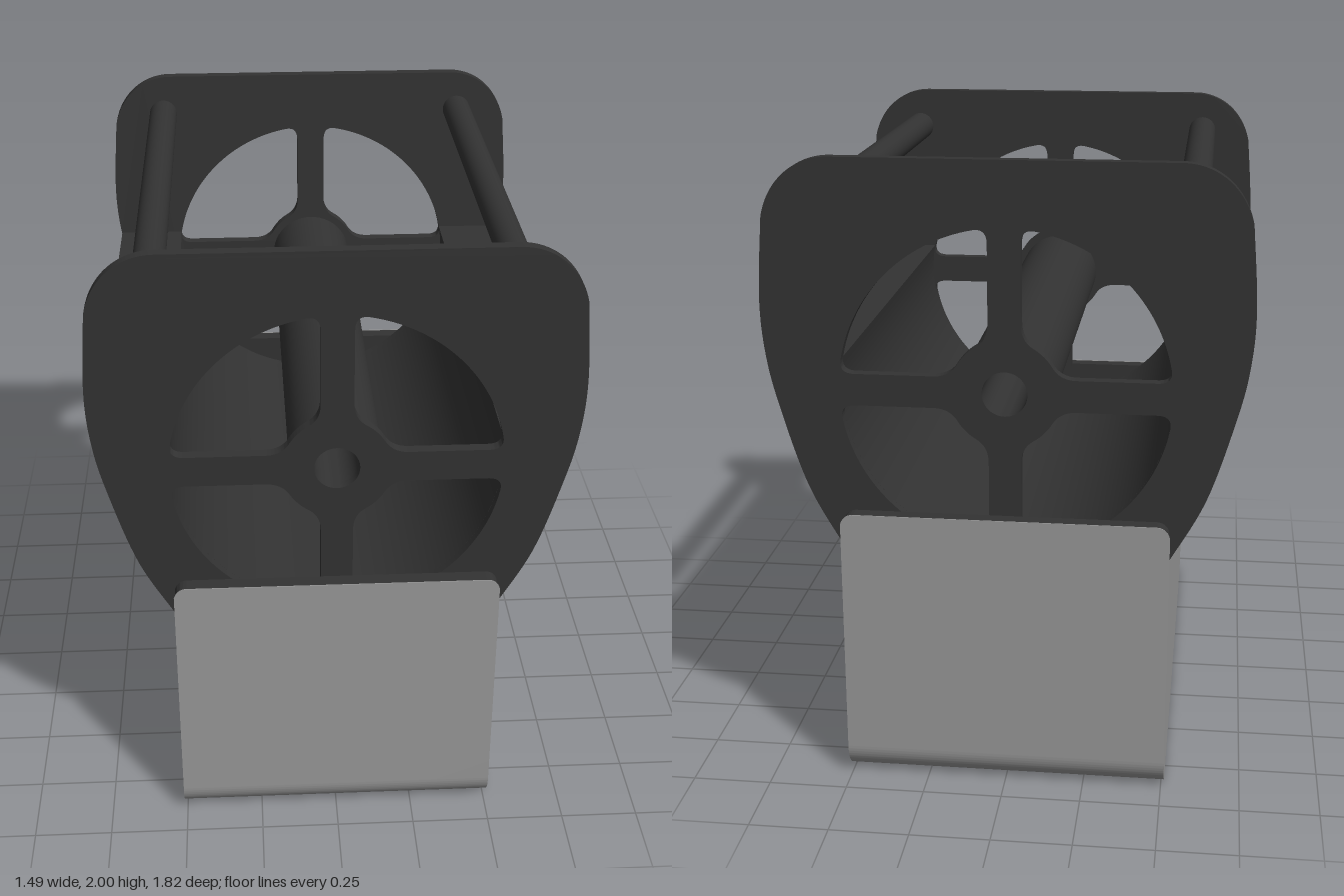
import * as THREE from 'three';
import { toCreasedNormals } from 'three/addons/utils/BufferGeometryUtils.js';

const AXIS_Y = 1.29; // height of the hub and drum axis
const WINDOW_R = 0.51;
const dark = new THREE.MeshStandardMaterial({ color: 0x333333 });
const grey = new THREE.MeshStandardMaterial({ color: 0x999999 });

// Extrude a shape from z0 to z1 with smooth curves and sharp edges
function extrude(shape, z0, z1) {
  const g = new THREE.ExtrudeGeometry(shape, { depth: z1 - z0, bevelEnabled: false, curveSegments: 24 });
  g.translate(0, 0, z0);
  return toCreasedNormals(g, 0.5);
}

function addMesh(parent, name, geometry, material) {
  const mesh = new THREE.Mesh(geometry, material);
  mesh.name = name;
  parent.add(mesh);
  return mesh;
}

// Right-hand flank of the end plate, from the foot to the shoulder
const flank = new THREE.SplineCurve([
  [0.51, 0.775], [0.615, 0.97], [0.695, 1.22], [0.733, 1.39], [0.745, 1.57], [0.728, 1.82],
].map(([x, y]) => new THREE.Vector2(x, y))).getPoints(40);

// Quarter window between two spokes, with rounded corners, turned by quarter steps
function windowHole(turn) {
  const hub = 0.17, spoke = 0.05, a = 0.18, b = 0.55;
  const s = new THREE.Path();
  s.moveTo(0.22, spoke);
  s.lineTo(0.46, spoke);
  s.quadraticCurveTo(0.508, spoke, WINDOW_R * Math.cos(a), WINDOW_R * Math.sin(a));
  s.absarc(0, 0, WINDOW_R, a, Math.PI / 2 - a, false);
  s.quadraticCurveTo(spoke, 0.508, spoke, 0.46);
  s.lineTo(spoke, 0.22);
  s.quadraticCurveTo(spoke, 0.168, hub * Math.sin(b), hub * Math.cos(b));
  s.absarc(0, 0, hub, Math.PI / 2 - b, b, true);
  s.quadraticCurveTo(0.168, spoke, 0.22, spoke);
  const centre = new THREE.Vector2();
  const pts = s.getPoints(16).slice(0, -1).map((p) => {
    p.rotateAround(centre, turn * Math.PI / 2);
    return p.setY(p.y + AXIS_Y);
  });
  return new THREE.Path(pts);
}

function plateShape() {
  const s = new THREE.Shape();
  s.moveTo(-0.51, 0.775);
  flank.forEach((p) => s.lineTo(p.x, p.y));
  s.bezierCurveTo(0.705, 1.93, 0.62, 2, 0.52, 2);
  s.lineTo(-0.52, 2);
  s.bezierCurveTo(-0.62, 2, -0.705, 1.93, -0.728, 1.82);
  [...flank].reverse().slice(1).forEach((p) => s.lineTo(-p.x, p.y));
  for (let i = 0; i < 4; i++) s.holes.push(windowHole(i));
  const bore = new THREE.Path();
  bore.absarc(0, AXIS_Y, 0.07, 0, Math.PI * 2, true);
  s.holes.push(bore);
  return s;
}

// Trough: flared outside, round channel inside
function troughShape() {
  const top = 1.385;
  const a = Math.asin((top - AXIS_Y) / WINDOW_R);
  const side = flank.filter((p) => p.y < top);
  const s = new THREE.Shape();
  s.moveTo(-0.51, 0.775);
  side.forEach((p) => s.lineTo(p.x - 0.002, p.y));
  s.lineTo(0.731, top);
  s.absarc(0, AXIS_Y, WINDOW_R, a, -Math.PI - a, true);
  s.lineTo(-0.731, top);
  [...side].reverse().slice(0, -1).forEach((p) => s.lineTo(-p.x + 0.002, p.y));
  return s;
}

// Side profile of the base: rounded lower corners, slanted upper horns
function baseShape() {
  const s = new THREE.Shape();
  s.moveTo(-0.81, 0);
  s.lineTo(0.81, 0);
  s.absarc(0.81, 0.1, 0.1, -Math.PI / 2, 0, false);
  s.lineTo(0.91, 0.87);
  s.lineTo(0.855, 0.775);
  s.lineTo(-0.855, 0.775);
  s.lineTo(-0.91, 0.87);
  s.lineTo(-0.91, 0.1);
  s.absarc(-0.81, 0.1, 0.1, Math.PI, Math.PI * 1.5, false);
  return s;
}

// Upright panel with rounded upper corners
function lipShape(w, y0, y1, r) {
  const s = new THREE.Shape();
  s.moveTo(-w, y0);
  s.lineTo(w, y0);
  s.lineTo(w, y1 - r);
  s.absarc(w - r, y1 - r, r, 0, Math.PI / 2, false);
  s.lineTo(-w + r, y1);
  s.absarc(-w + r, y1 - r, r, Math.PI / 2, Math.PI, false);
  return s;
}

export function createModel() {
  const model = new THREE.Group();
  model.name = 'drumHolder';

  // Base block
  const base = extrude(baseShape(), -0.51, 0.51);
  base.rotateY(-Math.PI / 2);
  addMesh(model, 'base', base, grey);

  // Trough and hollow axle between the end plates
  addMesh(model, 'trough', extrude(troughShape(), -0.825, 0.825), dark);
  const tube = new THREE.Shape();
  tube.absarc(0, AXIS_Y, 0.145, 0, Math.PI * 2, false);
  const bore = new THREE.Path();
  bore.absarc(0, AXIS_Y, 0.07, 0, Math.PI * 2, true);
  tube.holes.push(bore);
  addMesh(model, 'axleTube', extrude(tube, -0.825, 0.825), dark);

  // End plates, with raised lips on the base outside them
  for (const [name, turn] of [['front', 0], ['back', Math.PI]]) {
    const end = new THREE.Group();
    end.name = name + 'End';
    end.rotation.y = turn;
    addMesh(end, name + 'Plate', extrude(plateShape(), 0.82, 0.857), dark);
    addMesh(end, name + 'Lip', extrude(lipShape(0.508, 0.77, 0.898, 0.04), 0.857, 0.907), dark);
    addMesh(end, name + 'LipFace', extrude(lipShape(0.51, 0.7, 0.9, 0.04), 0.907, 0.91), grey);
    model.add(end);
  }

  // Upper tie rods
  for (const [name, x] of [['leftRod', 0.55], ['rightRod', -0.55]]) {
    const rod = new THREE.CylinderGeometry(0.05, 0.05, 1.65, 32);
    rod.rotateX(Math.PI / 2);
    addMesh(model, name, rod, dark).position.set(x, 1.86, 0);
  }
  return model;
}
